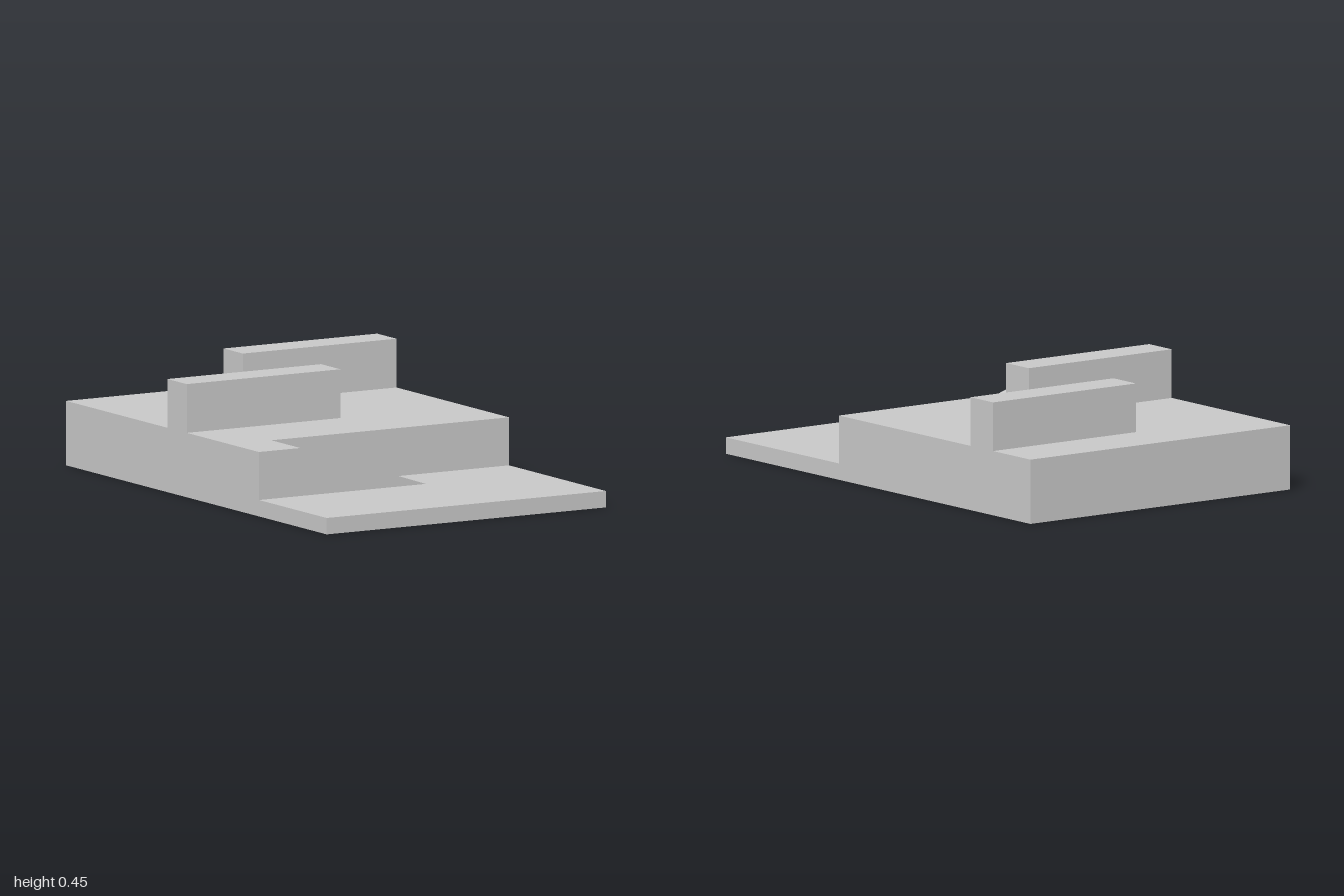
import * as THREE from 'three';

const HALF_WIDTH = 0.647;
const BASE_TOP = 0.066;
const DECK_TOP = 0.259;
const WALL_TOP = 0.455;
const STEP_Z = 0.257;

export function createModel() {
  const model = new THREE.Group();
  const grey = new THREE.MeshStandardMaterial({ color: 0xc8c8c8 });
  grey.name = 'lightGrey';

  const add = (name, geometry) => {
    const mesh = new THREE.Mesh(geometry, grey);
    mesh.name = name;
    model.add(mesh);
  };
  const extrude = (points, depth) => new THREE.ExtrudeGeometry(
    new THREE.Shape(points.map(([x, y]) => new THREE.Vector2(x, y))),
    { depth, bevelEnabled: false });

  // Stepped platform: side profile drawn as (-z, y), swept across the width
  const platform = extrude([
    [-1, 0], [1, 0], [1, DECK_TOP], [-STEP_Z, DECK_TOP], [-STEP_Z, BASE_TOP], [-1, BASE_TOP],
  ], HALF_WIDTH * 2);
  platform.rotateY(Math.PI / 2).translate(-HALF_WIDTH, 0, 0);
  add('steppedPlatform', platform);

  // Ramp with a flat landing, running along the step
  const ramp = extrude([
    [-HALF_WIDTH, BASE_TOP], [0.127, BASE_TOP], [-0.455, DECK_TOP], [-HALF_WIDTH, DECK_TOP],
  ], 0.48 - STEP_Z);
  ramp.translate(0, 0, STEP_Z);
  add('ramp', ramp);

  // Two staggered walls reaching in from opposite sides
  const length = HALF_WIDTH + 0.065;
  const height = WALL_TOP - DECK_TOP;
  for (const [name, side, z] of [['frontWall', -1, -0.148], ['backWall', 1, -0.681]]) {
    const wall = new THREE.BoxGeometry(length, height, 0.148);
    wall.translate(side * (HALF_WIDTH - length / 2), DECK_TOP + height / 2, z);
    add(name, wall);
  }

  return model;
}
